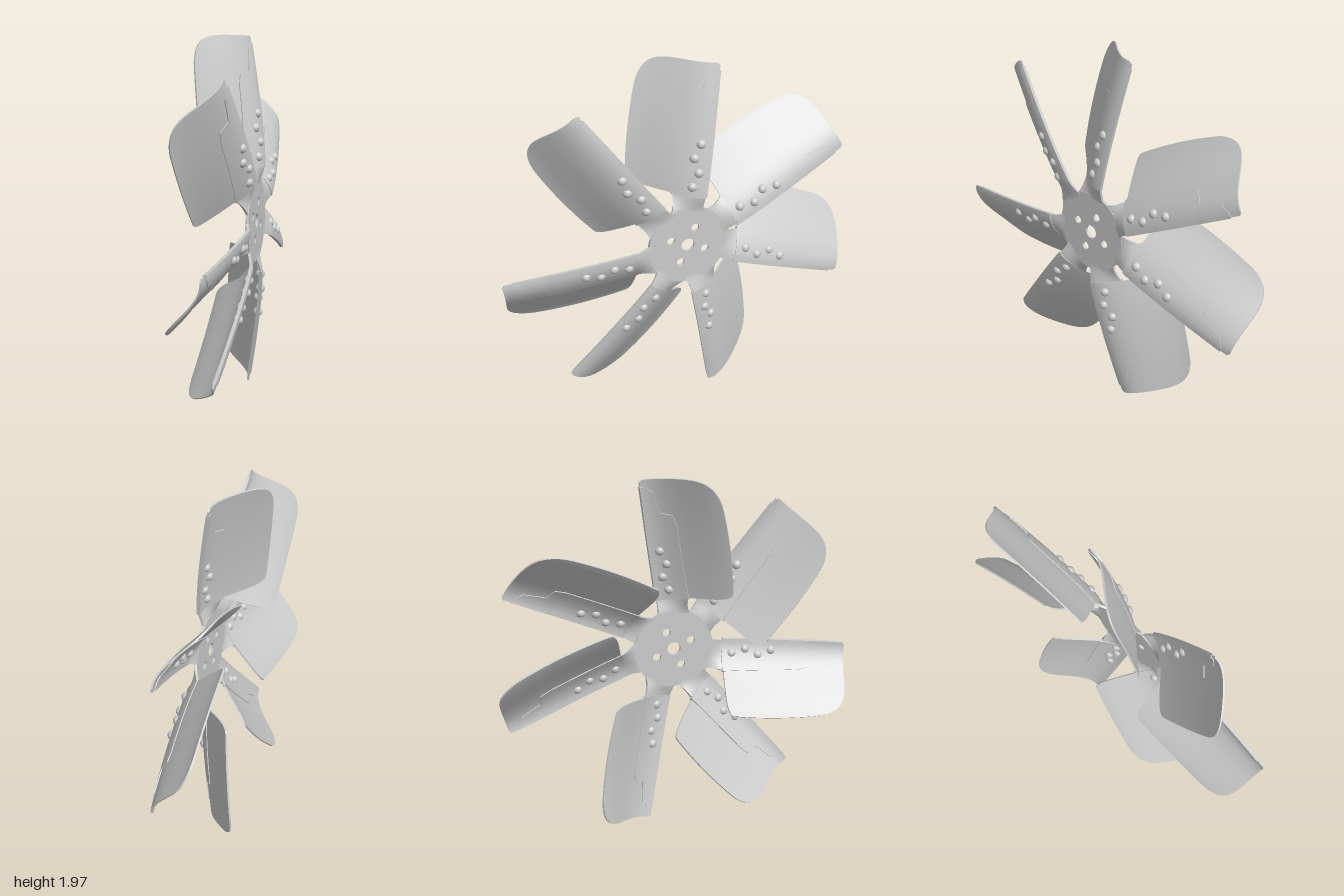
import * as THREE from 'three';

const lerp = THREE.MathUtils.lerp;
const material = new THREE.MeshStandardMaterial({ color: 0xcccccc });
const HUB_W = 0.128;

// Hand-made unevenness of each blade: angle in degrees, bend of the tip along the axle, tip radius
const blades = [
  [83.8, -0.012, 0.982], [28.5, 0.015, 1.004], [-16.9, 0.043, 0.996], [-74.9, -0.005, 1],
  [-126.4, -0.01, 0.978], [-171, 0.028, 0.998], [130.2, 0.03, 0.988]];

// Blade frame: r = outward, t = across (leading to trailing edge), w = along the axle
const lead = (r) => -0.06 - 0.057 * (r - 0.29);
const trail = (r) => 0.303 - 0.2 * (r - 0.42) ** 2;
function bladeHeight(r, t, bend) {
  const s = Math.max(0, (r - 0.29) / 0.7);
  const b = (t - lead(r)) / (trail(r) - lead(r));
  const front = 0.153 - 0.097 * s ** 1.4;
  const back = -0.095 - 0.07 * Math.min(1, s);
  return lerp(front, back, b) + 0.28 * b * (1 - b) ** 2 + bend * s;
}
function normalAt(w, r, t) {
  const e = 0.004;
  return new THREE.Vector3(
    (w(r - e, t) - w(r + e, t)) / (2 * e),
    (w(r, t - e) - w(r, t + e)) / (2 * e), 1).normalize();
}

// Closed sheet of even thickness: map(a, b) gives [r, t], w(r, t) gives the height
function sheet(name, map, w, thickness, na, nb) {
  const pos = [], index = [];
  const point = (i, j, side) => {
    const [r, t] = map(i / na, j / nb);
    const p = new THREE.Vector3(r, t, w(r, t));
    p.addScaledVector(normalAt(w, r, t), side * thickness / 2);
    return pos.push(p.x, p.y, p.z) / 3 - 1;
  };
  for (const side of [1, -1]) {
    const start = pos.length / 3;
    for (let i = 0; i <= na; i++) for (let j = 0; j <= nb; j++) point(i, j, side);
    for (let i = 0; i < na; i++) for (let j = 0; j < nb; j++) {
      const a = start + i * (nb + 1) + j, b = a + nb + 1;
      if (side > 0) index.push(a, b, b + 1, a, b + 1, a + 1);
      else index.push(a, b + 1, b, a, a + 1, b + 1);
    }
  }
  // Rim, walked counter-clockwise
  const rim = [];
  for (let i = 0; i < na; i++) rim.push([i, 0, i + 1, 0], [na - i, nb, na - i - 1, nb]);
  for (let j = 0; j < nb; j++) rim.push([na, j, na, j + 1], [0, nb - j, 0, nb - j - 1]);
  for (const [i, j, k, l] of rim) {
    const a = point(i, j, -1), b = point(k, l, -1), c = point(k, l, 1), d = point(i, j, 1);
    index.push(a, b, c, a, c, d);
  }
  const g = new THREE.BufferGeometry();
  g.setAttribute('position', new THREE.Float32BufferAttribute(pos, 3));
  g.setIndex(index);
  g.computeVertexNormals();
  const mesh = new THREE.Mesh(g, material);
  mesh.name = name;
  return mesh;
}

// Blade outline with a rounded outer trailing corner
const bladeMap = (tip) => (a, b) => {
  const c = Math.sin(b * Math.PI / 2);
  const inner = 0.293 + 0.04 * (1 - Math.sqrt(Math.max(0, 1 - c ** 10)));
  const outer = tip - 0.008 * c - 0.165 * (1 - Math.sqrt(Math.max(0, 1 - c ** 8)))
    - 0.012 * Math.max(0, 1 - c / 0.06) ** 2;
  const r = lerp(inner, outer, a);
  return [r, lerp(lead(r), trail(r), c)];
};

// Stepped reinforcing strap: [r, trailing side t]
const strapRows = [[0.285, 0.107], [0.5, 0.09], [0.72, 0.073], [0.775, 0.058],
  [0.79, 0], [0.91, -0.03], [0.945, -0.075]];
function strapMap(a, b) {
  const x = a * (strapRows.length - 1);
  const i = Math.min(strapRows.length - 2, Math.floor(x));
  const [p, q] = [strapRows[i], strapRows[i + 1]];
  const r = lerp(p[0], q[0], x - i);
  return [r, lerp(lead(r) - 0.003, lerp(p[1], q[1], x - i), b)];
}

// Hub arm, flared where it meets the disc
function armMap(a, b) {
  const r = lerp(0.16, 0.35, a);
  const flare = 0.03 * Math.max(0, (0.25 - r) / 0.09) ** 2;
  return [r, lerp(-0.058 - flare, 0.1 + flare, b)];
}

const dome = new THREE.SphereGeometry(0.026, 20, 14);

function makeBlade(bend, tip) {
  const w = (r, t) => bladeHeight(r, t, bend);
  const armW = (r, t) => lerp(HUB_W, w(r, t), THREE.MathUtils.smoothstep(r, 0.18, 0.31));
  const blade = new THREE.Group();
  blade.add(
    sheet('bladePanel', bladeMap(tip), w, 0.009, 28, 28),
    sheet('bladeStrap', strapMap, w, 0.019, 36, 6),
    sheet('hubArm', armMap, armW, 0.014, 16, 8));
  // Zigzag row of rivets, domed on both faces
  [[0.342, 0.014], [0.42, -0.013], [0.495, 0.012], [0.572, -0.017]].forEach(([r, t]) => {
    const rivet = new THREE.Mesh(dome, material);
    rivet.name = 'rivet';
    rivet.position.set(r, t, w(r, t));
    rivet.quaternion.setFromUnitVectors(new THREE.Vector3(0, 0, 1), normalAt(w, r, t));
    blade.add(rivet);
  });
  return blade;
}

// Flat hub disc with the axle hole and four bolt holes
function makeHub() {
  const shape = new THREE.Shape().absarc(0, 0, 0.222, 0, Math.PI * 2);
  const hole = (x, y, radius) =>
    shape.holes.push(new THREE.Path().absarc(x, y, radius, 0, Math.PI * 2, true));
  hole(0, 0, 0.037);
  for (let k = 0; k < 4; k++) {
    const a = THREE.MathUtils.degToRad(67 + 90 * k);
    hole(0.105 * Math.cos(a), 0.105 * Math.sin(a), 0.022);
  }
  const g = new THREE.ExtrudeGeometry(shape, { depth: 0.016, bevelEnabled: false, curveSegments: 32 });
  g.translate(0, 0, HUB_W - 0.008);
  const hub = new THREE.Mesh(g, material);
  hub.name = 'hubDisc';
  return hub;
}

export function createModel() {
  const fan = new THREE.Group();
  fan.name = 'fan';
  fan.add(makeHub());
  blades.forEach(([deg, bend, tip], i) => {
    const blade = makeBlade(bend, tip);
    blade.name = `blade${i + 1}`;
    blade.rotation.z = THREE.MathUtils.degToRad(deg);
    fan.add(blade);
  });
  // Axle lies along x
  fan.rotation.y = Math.PI / 2;
  fan.position.set(0, 0.99, -0.003);
  const model = new THREE.Group();
  model.name = 'fanModel';
  model.add(fan);
  return model;
}
